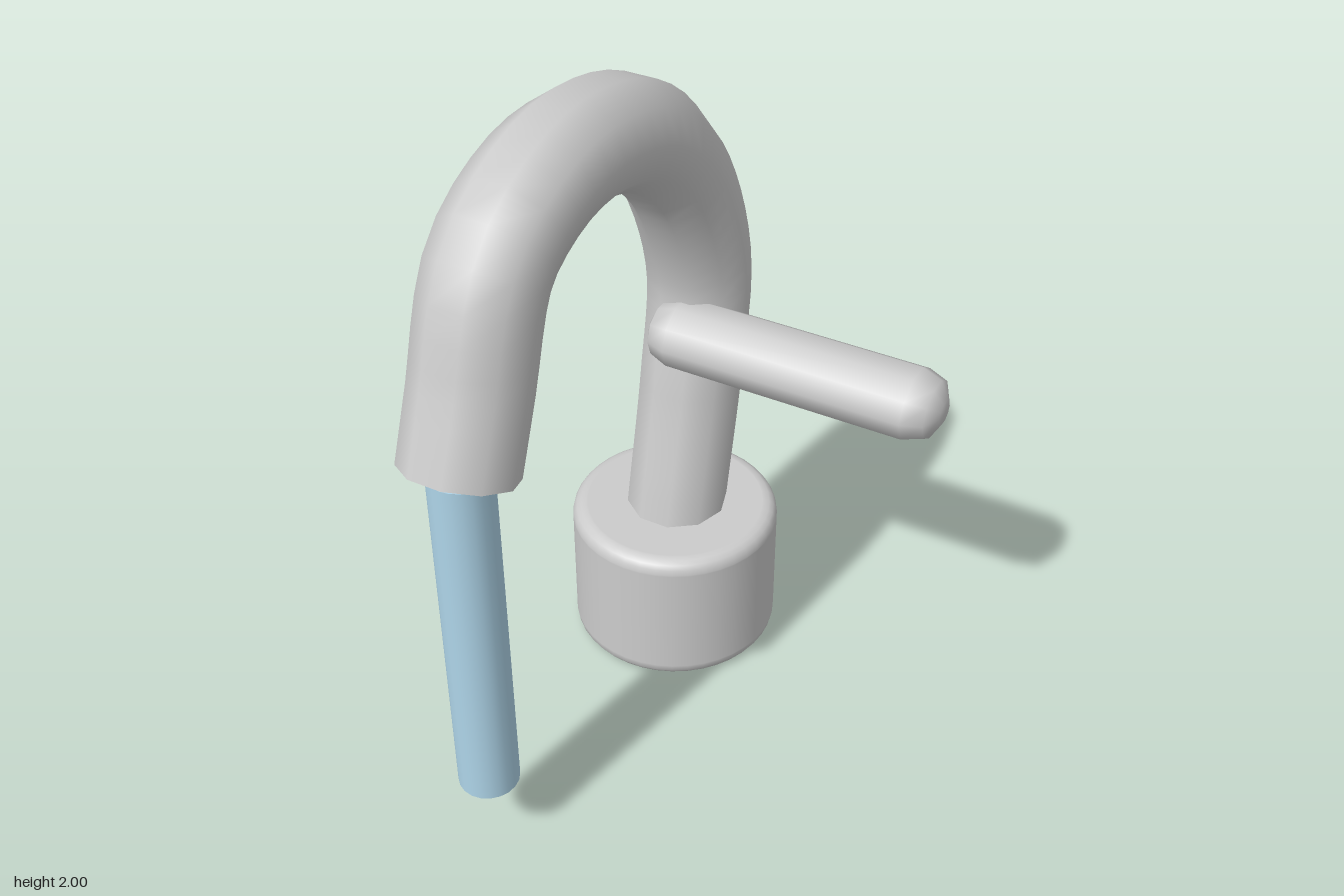
import * as THREE from 'three';

const X = -0.255; // shared x of base, spout and water

export function createModel() {
  const group = new THREE.Group();
  const metal = new THREE.MeshStandardMaterial({ color: 0xcccccc });
  const water = new THREE.MeshStandardMaterial({ color: 0xaed4e8 });

  const add = (name, geometry, material, x, y, z) => {
    const mesh = new THREE.Mesh(geometry, material);
    mesh.name = name;
    mesh.position.set(x, y, z);
    group.add(mesh);
    return mesh;
  };
  const lathe = (points, sides) =>
    new THREE.LatheGeometry(points.map(([r, y]) => new THREE.Vector2(r, y)), sides);

  // Base: drum with rounded rims
  const R = 0.31, H = 0.45, b = 0.04;
  const profile = [[0, 0], [R - b - 0.005, 0]];
  const rim = (cy, from) => {
    for (let i = 0; i <= 4; i++) {
      const a = from + (i / 4) * Math.PI / 2;
      profile.push([R - b + b * Math.cos(a), cy + b * Math.sin(a)]);
    }
  };
  rim(b, -Math.PI / 2);
  profile.push([R, b + 0.005], [R, H - b - 0.005]);
  rim(H - b, 0);
  profile.push([R - b - 0.005, H], [0, H]);
  add('base', lathe(profile, 40), metal, X, 0, -0.43);

  // Spout: ten-sided swan neck, path given as [z, y]
  const path = new THREE.CatmullRomCurve3([
    [-0.425, 0.36], [-0.455, 0.5], [-0.53, 0.85], [-0.573, 1.2], [-0.42, 1.58],
    [-0.2, 1.78], [0.07, 1.857], [0.27, 1.83], [0.43, 1.73], [0.54, 1.45], [0.61, 1.27],
  ].map(([z, y]) => new THREE.Vector3(0, y, z)));
  add('spout', new THREE.TubeGeometry(path, 40, 0.15, 10), metal, X, 0, 0);

  // Mouth: disc closing the spout end, square to the path
  const end = path.getPoint(1);
  const out = path.getTangent(1);
  const mouth = add('spoutMouth', new THREE.CircleGeometry(0.15, 10), metal, X, end.y, end.z);
  mouth.lookAt(mouth.position.clone().add(out));

  // Handle: rounded bar along x, slightly flattened in y
  const half = 0.44;
  const cap = [[0, half], [0.037, half - 0.001], [0.09, half - 0.027], [0.112, half - 0.085]];
  const bar = [...cap.map(([r, y]) => [r, -y]), ...cap.slice().reverse()];
  const handleGeo = lathe(bar, 10);
  handleGeo.rotateZ(-Math.PI / 2);
  // Lathe starts at +z, so a pair of corners lies on the z axis
  handleGeo.scale(1, 0.905, 1);
  add('handle', handleGeo, metal, 0.56 - half, 1.06, -0.43);

  // Water: straight column with a narrower neck entering the mouth
  add('waterStream', new THREE.CylinderGeometry(0.083, 0.083, 1.04, 20), water, X + 0.002, 0.75, 0.61);
  add('waterNeck', new THREE.CylinderGeometry(0.055, 0.055, 0.1, 16), water, X + 0.002, 1.28, 0.61);

  return group;
}
